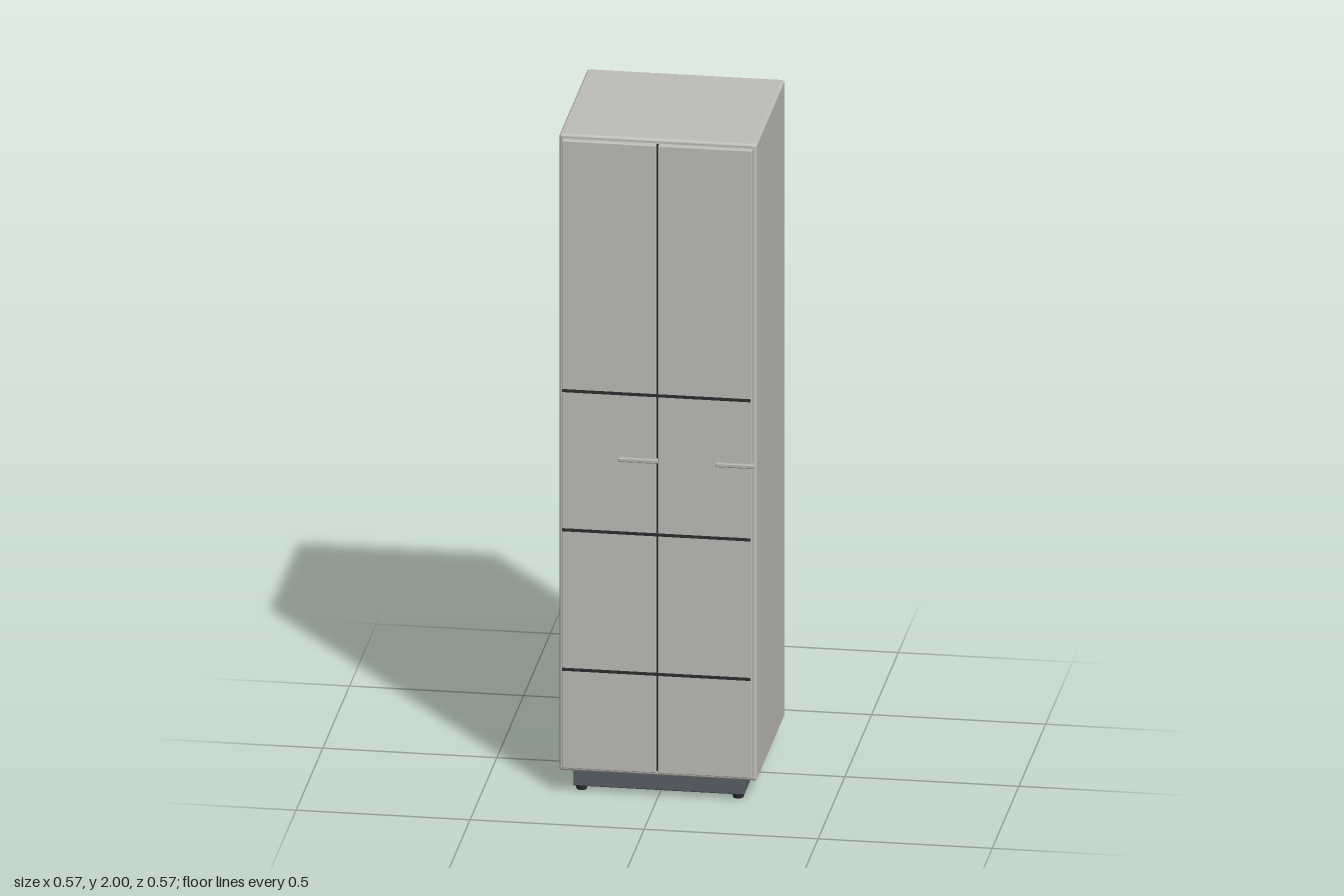
import * as THREE from 'three';
import { RoundedBoxGeometry } from 'three/addons/geometries/RoundedBoxGeometry.js';

export function createModel() {
  const group = new THREE.Group();
  const material = (name, color) => {
    const m = new THREE.MeshStandardMaterial({ color });
    m.name = name;
    return m;
  };
  const panelGrey = material('panel grey', 0xc0beb8);
  const plinthGrey = material('plinth slate', 0x586066);
  const seamDark = material('seam dark', 0x2b2d30);
  const handleMetal = material('handle metal', 0xb4b4b0);

  const add = (name, geometry, mat, x, y, z) => {
    const mesh = new THREE.Mesh(geometry, mat);
    mesh.name = name;
    mesh.position.set(x, y, z);
    group.add(mesh);
    return mesh;
  };
  // Box given by its limits on each axis, with optional rounded edges
  const block = (name, mat, [x0, x1], [y0, y1], [z0, z1], r = 0) => {
    const size = [x1 - x0, y1 - y0, z1 - z0];
    const geometry = r ? new RoundedBoxGeometry(...size, 3, r) : new THREE.BoxGeometry(...size);
    return add(name, geometry, mat, (x0 + x1) / 2, (y0 + y1) / 2, (z0 + z1) / 2);
  };

  // Cabinet on a recessed plinth
  block('cabinetBody', panelGrey, [-0.284, 0.284], [0.065, 2], [-0.285, 0.242], 0.008);
  block('plinth', plinthGrey, [-0.246, 0.246], [0.014, 0.068], [-0.266, 0.224], 0.004);

  // Short feet under the plinth corners
  for (const x of [-0.225, 0.225]) {
    for (const z of [-0.245, 0.203]) {
      add('foot', new THREE.CylinderGeometry(0.018, 0.015, 0.016, 20), seamDark, x, 0.008, z);
    }
  }

  // Two tall doors with a dark seam between them
  block('leftDoor', panelGrey, [0.003, 0.273], [0.08, 1.988], [0.241, 0.262], 0.003);
  block('rightDoor', panelGrey, [-0.273, -0.003], [0.08, 1.988], [0.241, 0.262], 0.003);
  block('doorSeam', seamDark, [-0.003, 0.003], [0.082, 1.986], [0.241, 0.247]);

  // Thin horizontal strips across the doors
  for (const y of [0.385, 0.809, 1.232]) {
    block('doorStrip', seamDark, [-0.271, 0.271], [y - 0.004, y + 0.004], [0.27, 0.274]);
  }

  // Bar handles on two short posts each
  for (const x of [-0.051, 0.227]) {
    block('handleBar', handleMetal, [x - 0.057, x + 0.057], [1.029, 1.041], [0.273, 0.285], 0.003);
    for (const dx of [-0.049, 0.049]) {
      const post = add('handlePost', new THREE.CylinderGeometry(0.004, 0.004, 0.014, 12), handleMetal, x + dx, 1.035, 0.268);
      post.rotation.x = Math.PI / 2;
    }
  }
  return group;
}
